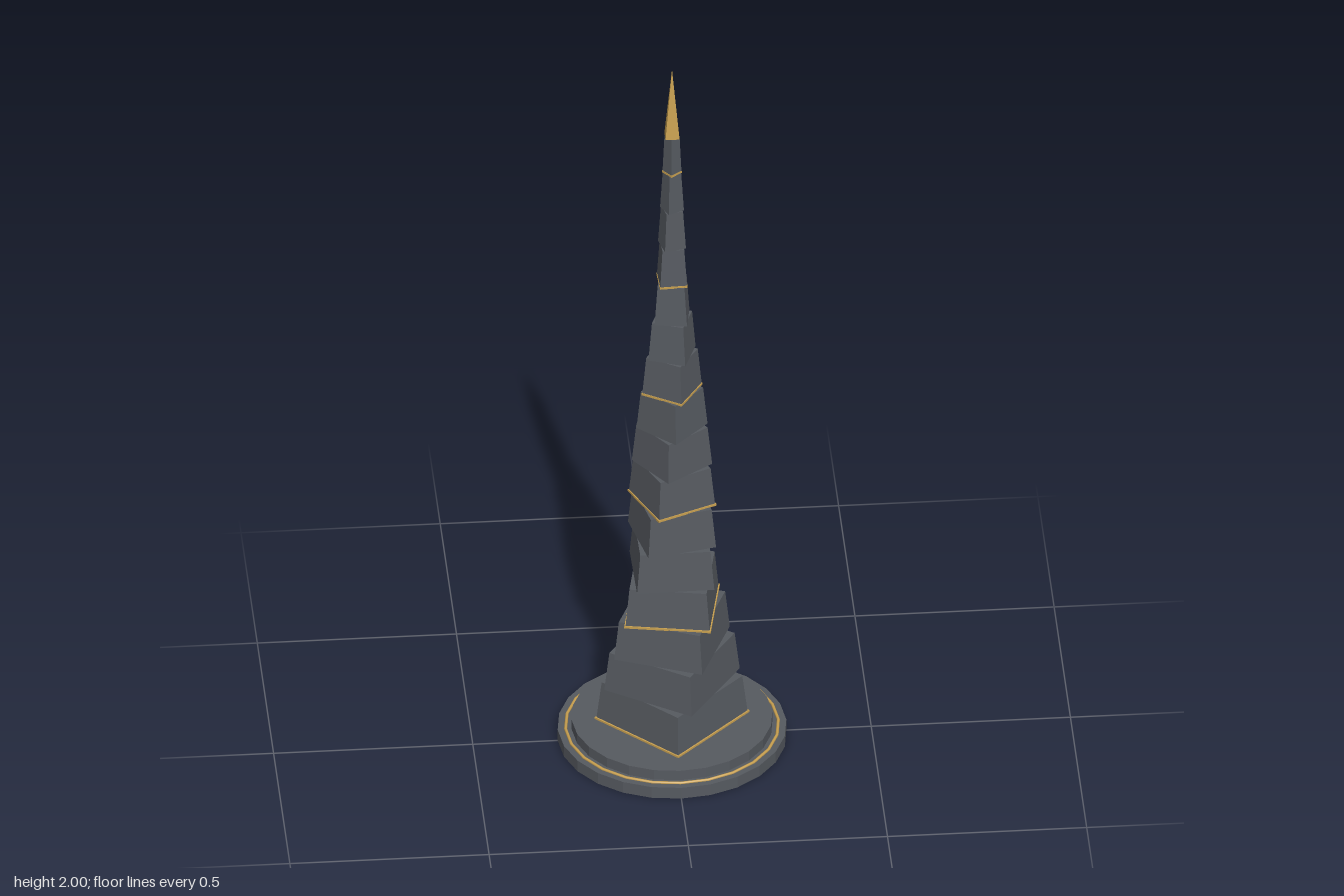
import * as THREE from 'three';

const stone = new THREE.MeshStandardMaterial({ color: 0x565a60 });
stone.name = 'slate grey';
const gold = new THREE.MeshStandardMaterial({ color: 0xc8a050 });
gold.name = 'gold';

const LEVELS = 16, BASE_Y = 0.06, TOP_Y = 1.8, TWIST = 0.2;
const STEP = (TOP_Y - BASE_Y) / LEVELS;

// Corner radius of the tower at level k, easing towards the tip
const radiusAt = (k) => 0.019 + 0.171 * Math.pow(1 - k / LEVELS, 1.28);

function add(parent, name, geometry, material, y = 0) {
  const mesh = new THREE.Mesh(geometry, material);
  mesh.name = name;
  mesh.position.y = y;
  parent.add(mesh);
  return mesh;
}

// Flat-sided prism standing on its bottom face
function prism(rTop, rBottom, height, sides) {
  return new THREE.CylinderGeometry(rTop, rBottom, height, sides)
    .translate(0, height / 2, 0).toNonIndexed();
}

function flat(geometry) {
  geometry.computeVertexNormals();
  return geometry;
}

export function createModel() {
  const model = new THREE.Group();
  model.name = 'twistedTower';

  // Stepped round plinth with a gold ring on the lower step
  add(model, 'lowerPlinth', flat(prism(0.287, 0.287, 0.032, 24)), stone);
  add(model, 'upperPlinth', flat(prism(0.252, 0.252, 0.028, 24)), stone, 0.032);
  const ring = new THREE.TorusGeometry(0.267, 0.004, 8, 24).rotateX(Math.PI / 2);
  add(model, 'plinthRing', ring, gold, 0.033);

  // Square tapered blocks, each turned a little further than the last
  const tower = new THREE.Group();
  tower.name = 'tower';
  model.add(tower);
  for (let k = 0; k < LEVELS; k++) {
    const y = BASE_Y + k * STEP;
    const r = radiusAt(k);
    const block = add(tower, 'towerBlock', flat(prism(radiusAt(k + 1), r, STEP, 4)), stone, y);
    block.rotation.y = k * TWIST;

    // Gold trim under every third block
    if (k % 3 === 0) {
      const trim = add(tower, 'goldTrim', flat(prism(r * 1.025, r * 1.025, 0.006, 4)), gold, y - 0.001);
      trim.rotation.y = k * TWIST;
    }
  }

  // Pyramid spire
  const spire = add(model, 'spire', flat(prism(0, 0.025, 0.2, 4)), gold, TOP_Y);
  spire.rotation.y = Math.PI / 4;

  // Upright hoop at the back
  const hoop = add(model, 'backHoop', new THREE.TorusGeometry(0.063, 0.0032, 8, 32), gold, 0.134);
  hoop.position.z = -0.193;

  return model;
}
